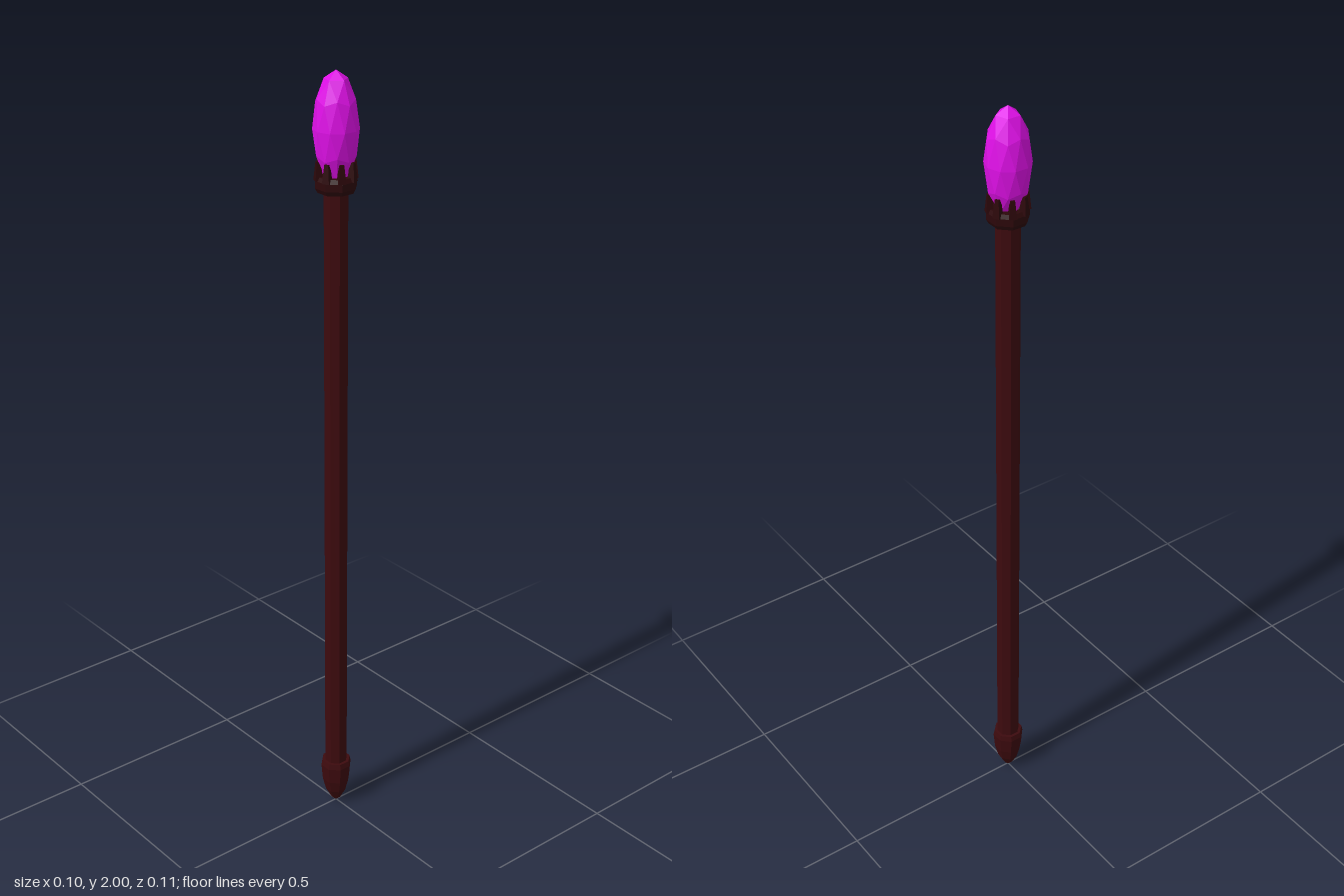
import * as THREE from 'three';

const SIDES = 8;
const wood = new THREE.MeshStandardMaterial({ color: 0x3d0a0e, flatShading: true, side: THREE.DoubleSide });
const darkWood = new THREE.MeshStandardMaterial({ color: 0x2c070a, flatShading: true, side: THREE.DoubleSide });
const crystal = new THREE.MeshStandardMaterial({ color: 0xe010e8, flatShading: true });

// Faceted solid of revolution from [radius, height] pairs, listed bottom to top
function turned(name, profile, material) {
  const points = profile.map(([r, y]) => new THREE.Vector2(r, y));
  const geometry = new THREE.LatheGeometry(points, SIDES);
  geometry.rotateY(Math.PI / SIDES);
  const mesh = new THREE.Mesh(geometry, material);
  mesh.name = name;
  return mesh;
}

export function createModel() {
  const staff = new THREE.Group();
  staff.name = 'staff';

  // Long pole
  staff.add(turned('shaft', [[0.03, 0.1], [0.03, 1.73]], wood));

  // Pointed foot that flares out past the pole
  staff.add(turned('footCap', [
    [0, 0], [0.012, 0.01], [0.028, 0.04], [0.037, 0.075],
    [0.041, 0.12], [0.038, 0.135], [0.029, 0.135],
  ], wood));

  // Collar under the crystal
  staff.add(turned('collar', [
    [0.029, 1.716], [0.045, 1.716], [0.051, 1.727], [0.051, 1.745], [0.046, 1.755], [0.03, 1.755],
  ], darkWood));

  // Ring of short claws gripping the crystal
  const claws = new THREE.Group();
  claws.name = 'claws';
  for (let i = 0; i < SIDES; i++) {
    const angle = (i + 0.5) * Math.PI * 2 / SIDES;
    const geometry = new THREE.CylinderGeometry(0.007, 0.013, 0.045, 4);
    geometry.rotateY(Math.PI / 4);
    geometry.translate(0, 1.768, 0.043);
    geometry.rotateY(angle);
    const claw = new THREE.Mesh(geometry, darkWood);
    claw.name = 'claw';
    claws.add(claw);
  }
  staff.add(claws);

  // Tall faceted crystal: a sphere of triangles, corner up, stretched
  const gem = new THREE.IcosahedronGeometry(1, 1);
  gem.rotateZ(Math.atan(2 / (1 + Math.sqrt(5))));
  gem.rotateY(Math.PI);
  gem.scale(0.055, 0.135, 0.055);
  gem.translate(0, 1.865, 0);
  const crystalMesh = new THREE.Mesh(gem, crystal);
  crystalMesh.name = 'crystal';
  staff.add(crystalMesh);

  return staff;
}
